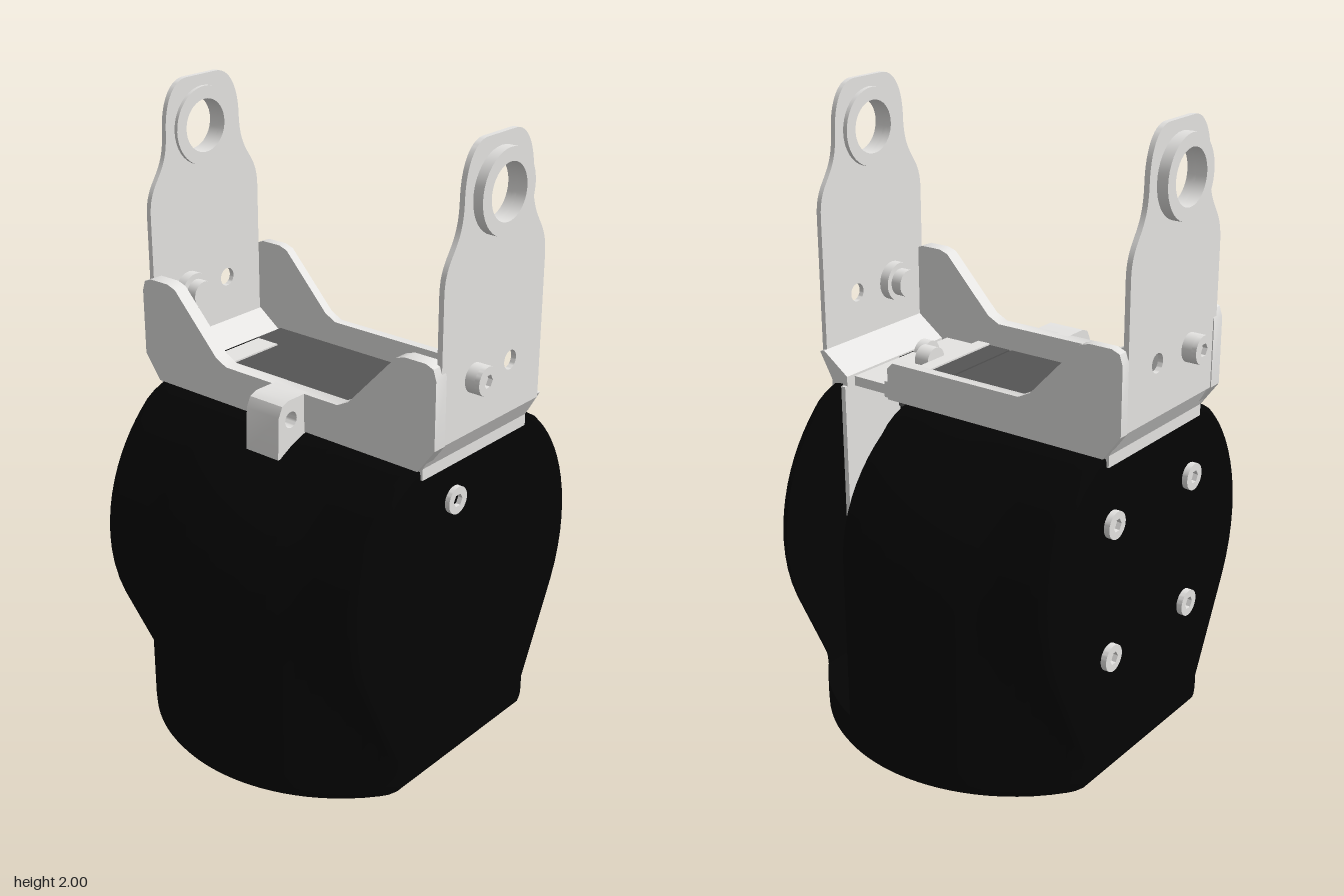
import * as THREE from 'three';
import { toCreasedNormals } from 'three/addons/utils/BufferGeometryUtils.js';

const material = (name, color) => {
  const m = new THREE.MeshStandardMaterial({ color });
  m.name = name;
  return m;
};

export function createModel() {
  const root = new THREE.Group();
  const black = material('black shell', 0x040404);
  const pale = material('pale metal', 0xe5e4e2);
  const grey = material('dark grey', 0x555555);

  const add = (name, geo, mat) => {
    const m = new THREE.Mesh(geo, mat);
    m.name = name;
    root.add(m);
  };
  const box = (name, x0, x1, y0, y1, z0, z1, mat) =>
    add(name, new THREE.BoxGeometry(x1 - x0, y1 - y0, z1 - z0)
      .translate((x0 + x1) / 2, (y0 + y1) / 2, (z0 + z1) / 2), mat);
  // Cylinder lying along x
  const rod = (name, x0, x1, y, z, r, mat, seg = 32) =>
    add(name, new THREE.CylinderGeometry(r, r, x1 - x0, seg).rotateZ(Math.PI / 2)
      .translate((x0 + x1) / 2, y, z), mat);
  const extrude = (shape, depth) => toCreasedNormals(new THREE.ExtrudeGeometry(shape,
    { depth, bevelEnabled: false, curveSegments: 20 }), 0.5);
  // Side plate: shape drawn in (-z, y), thickness along +x from x0
  const sidePlate = (name, shape, x0, depth, mat) =>
    add(name, extrude(shape, depth).rotateY(Math.PI / 2).translate(x0, 0, 0), mat);
  const polygon = pts => new THREE.Shape(pts.map(p => new THREE.Vector2(...p)));
  const circle = (x, y, r) => new THREE.Path().absarc(x, y, r, 0, Math.PI * 2, true);
  const disc = (x, y, r) => new THREE.Shape().absarc(x, y, r, 0, Math.PI * 2, false);
  // Screw along x with a hexagonal socket in its outer end (side s)
  const screw = (name, s, inner, outer, y, z, r) => {
    const head = disc(-z, y, r);
    head.holes.push(new THREE.Path(Array.from({ length: 6 }, (_, i) => new THREE.Vector2(
      -z + 0.02 * Math.cos(i * Math.PI / 3), y - 0.02 * Math.sin(i * Math.PI / 3)))));
    sidePlate(name + 'Head', head, s > 0 ? outer - 0.015 : -outer, 0.015, pale);
    const ends = [s * inner, s * (outer - 0.015)].sort((a, b) => a - b);
    rod(name + 'Shank', ...ends, y, z, r, pale);
  };

  // ---- Shell: yz sections lofted along x ----
  const BOTTOM = 0.1, TOP = 1.145, R = 0.58, SLOT = 0.22;
  const levels = [0.1, 0.107, 0.12, 0.14, 0.18, SLOT - 0.001, SLOT + 0.001];
  for (let i = 1; i <= 26; i++) levels.push(SLOT + (TOP - SLOT) * Math.sin(i / 26 * Math.PI / 2));

  const halfDepth = (x, y) => {
    const t = Math.min(1, Math.max(0, (y - 0.73) / 0.415));
    const limit = 0.09 + 0.49 * Math.sqrt(1 - t * t);
    const drum = Math.sqrt(R * R - x * x) * limit / R;
    // round cheek that runs out in a straight taper below
    const side = y < 0.484 ? 0.462 - (0.484 - y) * 0.466 : Math.sqrt(0.51 ** 2 - (y - 0.7) ** 2);
    const edge = Math.max(0, 0.03 - (y - BOTTOM));
    return Math.min(limit, Math.max(drum, side)) - (0.03 - Math.sqrt(0.0009 - edge * edge));
  };
  const section = (x, inset, slotted) => {
    const front = [], back = [];
    for (const y of levels) {
      const z = halfDepth(x, y) - inset;
      const yy = Math.min(TOP - inset, Math.max(BOTTOM + inset, y));
      front.push([x, yy, z]);
      back.unshift([x, yy, slotted && y > SLOT ? 0 : -z]);
    }
    return front.concat(back);
  };
  const shell = (name, x0, x1, round0, round1, slotted) => {
    const r = 0.035, rings = [];
    const a = round0 ? x0 + r : x0, b = round1 ? x1 - r : x1;
    const curve = [0, 0.25, 0.5, 0.75].map(t => t * Math.PI / 2);
    if (round0) for (const t of curve) rings.push(section(x0 + r * (1 - Math.cos(t)), r * (1 - Math.sin(t)), slotted));
    const n = Math.max(2, Math.ceil((b - a) / 0.035));
    for (let i = 0; i <= n; i++) rings.push(section(a + (b - a) * i / n, 0, slotted));
    if (round1) for (const t of curve.slice().reverse()) rings.push(section(x1 - r * (1 - Math.cos(t)), r * (1 - Math.sin(t)), slotted));
    const count = rings[0].length, index = [];
    for (let k = 0; k < rings.length - 1; k++) for (let i = 0; i < count; i++) {
      const j = (i + 1) % count, p = k * count, q = p + count;
      index.push(p + i, q + i, q + j, p + i, q + j, p + j);
    }
    const last = (rings.length - 1) * count;
    const flat = ring => THREE.ShapeUtils.triangulateShape(ring.map(v => new THREE.Vector2(v[2], v[1])), []);
    for (const [u, v, w] of flat(rings[0])) index.push(u, v, w);
    for (const [u, v, w] of flat(rings[rings.length - 1])) index.push(last + u, last + w, last + v);
    const g = new THREE.BufferGeometry();
    g.setAttribute('position', new THREE.Float32BufferAttribute(rings.flat(2), 3));
    g.setIndex(index);
    add(name, toCreasedNormals(g, 0.6), black);
  };
  shell('mainShell', -0.49, 0.2, true, false, false);
  shell('slottedShell', 0.2, 0.455, false, false, true);
  shell('sideCover', 0.455, 0.49, false, true, false);

  // ---- Motor and drive parts seen through the top and the slot ----
  box('motorCase', -0.44, 0.16, 1.1, 1.165, -0.23, 0.21, grey);
  box('motorEndCap', 0.168, 0.245, 1.1, 1.165, -0.23, 0.21, grey);
  box('motorRecess', -0.425, -0.345, 1.16, 1.17, -0.11, 0.11, pale);
  box('recessShadowGap', -0.43, -0.425, 1.16, 1.17, -0.11, 0.11, black);
  rod('driveDisc', 0.2, 0.245, 0.7, 0, 0.43, grey, 64);
  rod('driveDiscInset', 0.245, 0.25, 0.7, 0, 0.38, black, 64);
  rod('outputHorn', 0.25, 0.29, 0.7, 0, 0.33, pale, 48);
  box('hornRim', 0.245, 0.29, 1.12, 1.17, -0.24, 0.21, pale);
  box('hornPlate', 0.29, 0.415, 1.125, 1.155, -0.23, 0.21, pale);
  rod('hornAxle', 0.29, 0.34, 1.165, 0, 0.04, pale);
  rod('coverNut', 0.375, 0.41, 1.145, 0.08, 0.042, pale);
  box('innerSidePlate', 0.437, 0.453, 0.3, 1.12, -0.25, 0.2, pale);

  // ---- Bracket cross plates: the rear one stops at the slot ----
  const half = [[0.49, 1.125], [0.545, 1.2], [0.545, 1.4], [0.535, 1.43], [0.51, 1.44],
    [0.44, 1.44], [0.41, 1.43], [0.25, 1.26], [0.21, 1.24]];
  const leftHalf = half.slice().reverse().map(([x, y]) => [-x, y]);
  add('frontPlate', extrude(polygon([...half, ...leftHalf]), 0.045).translate(0, 0, 0.21), pale);
  add('backPlate', extrude(polygon([[0.26, 1.125], [0.26, 1.22], [0.24, 1.24], ...leftHalf]), 0.03)
    .translate(0, 0, -0.26), pale);

  // Front cable tab with a hole
  const tab = polygon([[-0.24, 1.08], [-0.24, 1.24], [-0.32, 1.24], [-0.345, 1.23],
    [-0.36, 1.2], [-0.365, 1.075], [-0.34, 1.075]]);
  tab.holes.push(circle(-0.31, 1.18, 0.024));
  sidePlate('frontTab', tab, -0.03, 0.12, pale);

  // ---- Upright arms ----
  for (const s of [1, -1]) {
    const arm = new THREE.Shape();
    arm.moveTo(-0.227, 1.2);
    arm.lineTo(0.227, 1.2);
    arm.lineTo(0.227, 1.62);
    arm.bezierCurveTo(0.227, 1.73, 0.155, 1.72, 0.152, 1.85);
    arm.bezierCurveTo(0.152, 1.95, 0.11, 2, 0.06, 2);
    arm.lineTo(-0.06, 2);
    arm.bezierCurveTo(-0.11, 2, -0.152, 1.95, -0.152, 1.85);
    arm.bezierCurveTo(-0.155, 1.72, -0.227, 1.73, -0.227, 1.62);
    arm.closePath();
    arm.holes.push(circle(0, 1.85, 0.079), circle(0.082, 1.357, 0.028));
    sidePlate('arm', arm, s > 0 ? 0.526 : -0.542, 0.016, pale);

    const ring = disc(0, 1.85, 0.117);
    ring.holes.push(circle(0, 1.85, 0.079));
    sidePlate('bearingRing', ring, s > 0 ? 0.512 : -0.575, 0.06, pale);

    // slanted foot that leads inwards over the shell
    const bend = polygon([[0.542, 1.21], [0.497, 1.13], [0.497, 1.095], [0.437, 1.095],
      [0.437, 1.15], [0.526, 1.215]].map(([x, y]) => [s * x, y]));
    add('armBend', extrude(bend, 0.48).translate(0, 0, -0.24), pale);

    screw('armScrew', s, 0.46, 0.588, 1.357, 0.083, 0.042);
    const nut = [s * 0.495, s * 0.526].sort((a, b) => a - b);
    rod('armNut', ...nut, 1.357, 0.083, 0.06, pale, 24);
  }

  // ---- Shell screws ----
  screw('coverScrew', 1, 0.46, 0.505, 0.98, 0.085, 0.041);
  for (const y of [0.5, 0.915]) for (const z of [-0.205, 0.205])
    screw('sideScrew', -1, 0.46, 0.508, y, z, 0.041);

  // ---- Turning horn underneath: shape drawn in (x, z) ----
  const CX = -0.02;
  const horn = disc(CX, 0, 0.25);
  horn.holes.push(circle(CX, 0, 0.11));
  for (let i = 0; i < 6; i++) {
    const a = (i + 0.5) * Math.PI / 3;
    horn.holes.push(circle(CX + 0.185 * Math.cos(a), 0.185 * Math.sin(a), 0.023));
  }
  add('baseHorn', extrude(horn, 0.09).rotateX(Math.PI / 2).translate(0, 0.105, 0), pale);
  add('baseHornBore', new THREE.CylinderGeometry(0.24, 0.24, 0.015, 32).translate(CX, 0.0975, 0), pale);
  box('baseStop', 0.2, 0.26, 0.015, 0.11, -0.083, 0.083, pale);
  for (const z of [-0.045, 0.045]) box('baseStopTooth', 0.25, 0.315, 0, 0.11, z - 0.038, z + 0.038, pale);

  return root;
}
